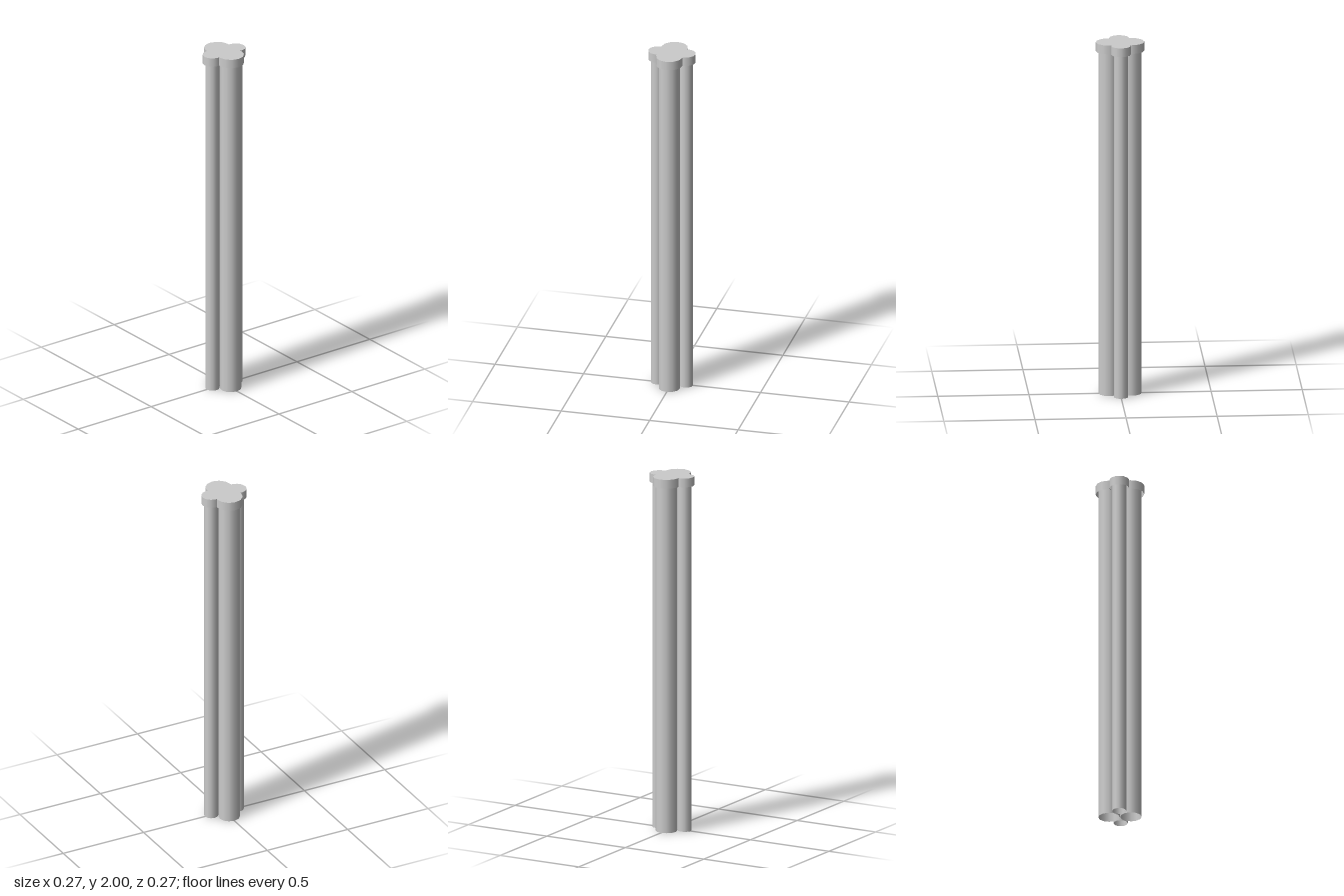
import * as THREE from 'three';

const SIDES = 12;
const HEIGHT = 2;
const CAP_HEIGHT = 0.05;

// Four clustered shafts: a wide pair front and back, a slim pair left and right
const LOBES = [
  { name: 'front', x: 0, z: 0.06, shaft: 0.059, cap: 0.074 },
  { name: 'back', x: 0, z: -0.06, shaft: 0.059, cap: 0.074 },
  { name: 'left', x: 0.08, z: 0, shaft: 0.039, cap: 0.054 },
  { name: 'right', x: -0.08, z: 0, shaft: 0.039, cap: 0.054 },
];

export function createModel() {
  const group = new THREE.Group();
  group.name = 'clusteredColumn';
  const material = new THREE.MeshStandardMaterial({ color: 0xcccccc, side: THREE.DoubleSide });

  const add = (geometry, name, x, y, z) => {
    const mesh = new THREE.Mesh(geometry, material);
    mesh.name = name;
    mesh.position.set(x, y, z);
    group.add(mesh);
    return mesh;
  };

  // Open-ended wall of a round lobe
  const wall = (radius, height) => new THREE.CylinderGeometry(radius, radius, height, SIDES, 1, true);

  for (const { name, x, z, shaft, cap } of LOBES) {
    // Long hollow shaft, running up into the cap
    add(wall(shaft, HEIGHT - 0.01), `${name}Shaft`, x, (HEIGHT - 0.01) / 2, z);

    // Wider cap band with a flat lid
    add(wall(cap, CAP_HEIGHT), `${name}CapBand`, x, HEIGHT - CAP_HEIGHT / 2, z);
    const lid = new THREE.CircleGeometry(cap, SIDES).rotateX(-Math.PI / 2);
    add(lid, `${name}CapLid`, x, HEIGHT, z);
  }
  return group;
}
